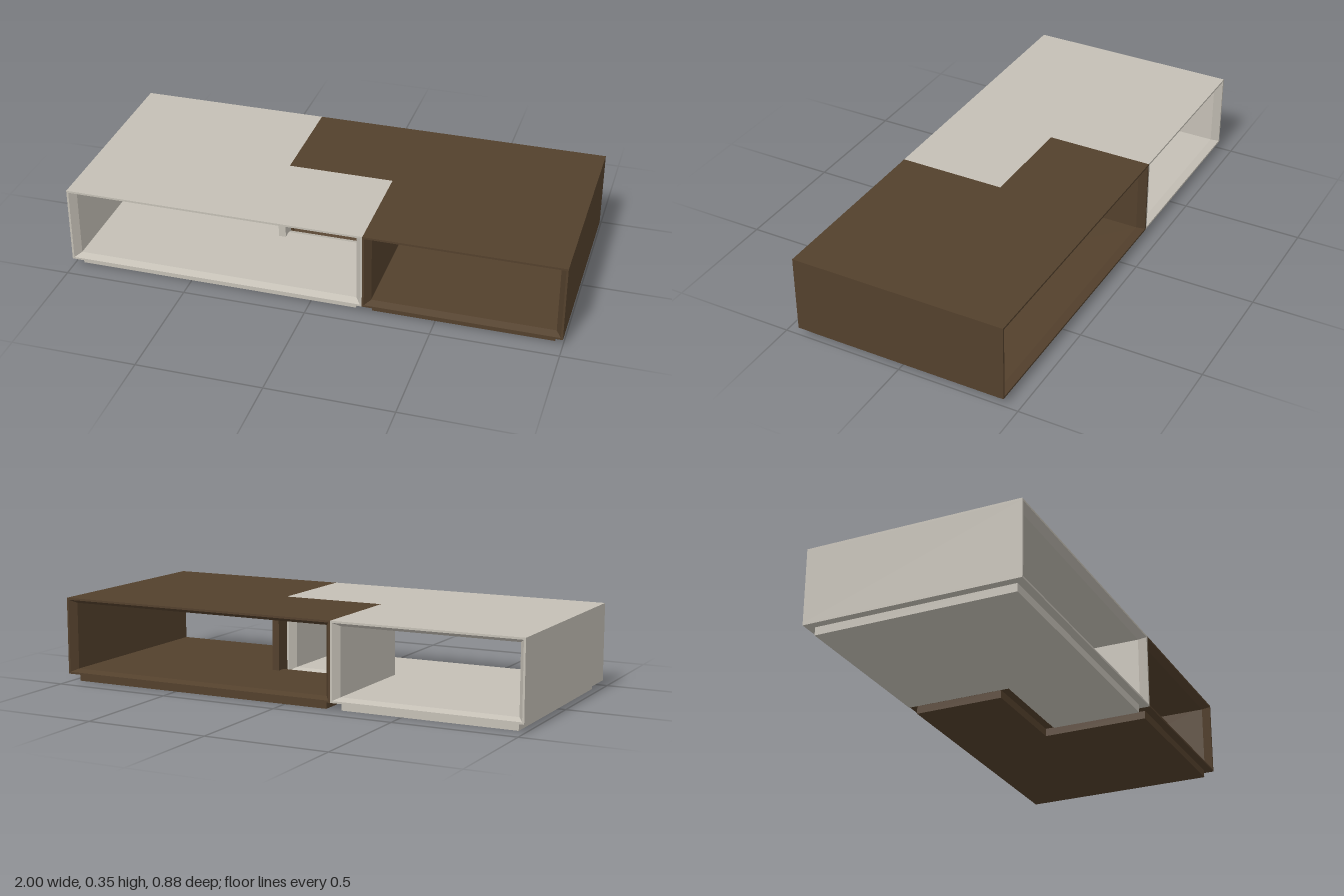
import * as THREE from 'three';

const W = 1, D = 0.442, N = 0.215;          // half width, half depth, half notch offset
const BASE = 0.033, TOP = 0.35;             // shell bottom and top
const LIP = 0.008, BEVEL = 0.03, SLAB = 0.023;

// Stacks closed [x, z] outlines at rising heights into a flat-sided solid
function loft(rings) {
  const pos = [];
  const put = (ring, i) => {
    const p = ring.pts[i % ring.pts.length];
    pos.push(p[0], ring.y, p[1]);
  };
  const first = rings[0], last = rings[rings.length - 1];
  const cap = (r) => THREE.ShapeUtils.triangulateShape(r.pts.map((p) => new THREE.Vector2(p[0], p[1])), []);
  for (const [a, b, c] of cap(first)) { put(first, a); put(first, b); put(first, c); }
  for (const [a, b, c] of cap(last)) { put(last, a); put(last, c); put(last, b); }
  for (let k = 0; k + 1 < rings.length; k++) {
    const lo = rings[k], hi = rings[k + 1];
    for (let i = 0; i < lo.pts.length; i++) {
      put(lo, i); put(hi, i); put(lo, i + 1);
      put(lo, i + 1); put(hi, i); put(hi, i + 1);
    }
  }
  const g = new THREE.BufferGeometry();
  g.setAttribute('position', new THREE.Float32BufferAttribute(pos, 3));
  g.computeVertexNormals();
  return g;
}

// L-shaped plan, shrunk by e on every side
const plan = (e) => [
  [-W + e, -D + e], [-N - e, -D + e], [-N - e, e],
  [N - e, e], [N - e, D - e], [-W + e, D - e],
];

const prism = (pts, y0, y1) => loft([{ pts, y: y0 }, { pts, y: y1 }]);

function createHalf(name, material) {
  const half = new THREE.Group();
  half.name = name;
  const add = (part, geometry) => {
    const mesh = new THREE.Mesh(geometry, material);
    mesh.name = part;
    half.add(mesh);
  };

  // Recessed plinth
  add('plinth', prism(plan(0.033), 0, BASE));

  // Bottom and top slabs, bevelled towards the openings
  add('bottomSlab', loft([
    { pts: plan(0), y: BASE },
    { pts: plan(0), y: BASE + LIP },
    { pts: plan(BEVEL), y: BASE + SLAB - 0.004 },
  ]));
  add('topSlab', loft([
    { pts: plan(BEVEL), y: TOP - SLAB },
    { pts: plan(0), y: TOP - LIP },
    { pts: plan(0), y: TOP },
  ]));

  // Upright walls with bevelled ends
  const wall = (part, pts) => add(part, prism(pts, BASE + LIP, TOP - LIP));
  wall('outerWall', [
    [-W, -D], [-W + LIP, -D], [-W + BEVEL, -D + BEVEL],
    [-W + BEVEL, D - BEVEL], [-W + LIP, D], [-W, D],
  ]);
  wall('endWall', [
    [N, 0], [N, D], [N - LIP, D],
    [N - BEVEL, D - BEVEL], [N - BEVEL, BEVEL], [N - LIP, 0],
  ]);
  wall('innerWall', [
    [-N, -D], [-N, 0.07], [-N - BEVEL, 0.07],
    [-N - BEVEL, -D + BEVEL], [-N - LIP, -D],
  ]);
  return half;
}

export function createModel() {
  const pale = new THREE.MeshStandardMaterial({ color: 0xc4bfb5 });
  pale.name = 'pale stone';
  const brown = new THREE.MeshStandardMaterial({ color: 0x53402c });
  brown.name = 'dark brown';

  const model = new THREE.Group();
  model.name = 'coffeeTable';

  // Two identical halves interlock, one turned half way round
  const paleHalf = createHalf('paleHalf', pale);
  const brownHalf = createHalf('brownHalf', brown);
  brownHalf.rotation.y = Math.PI;
  model.add(paleHalf, brownHalf);
  return model;
}
